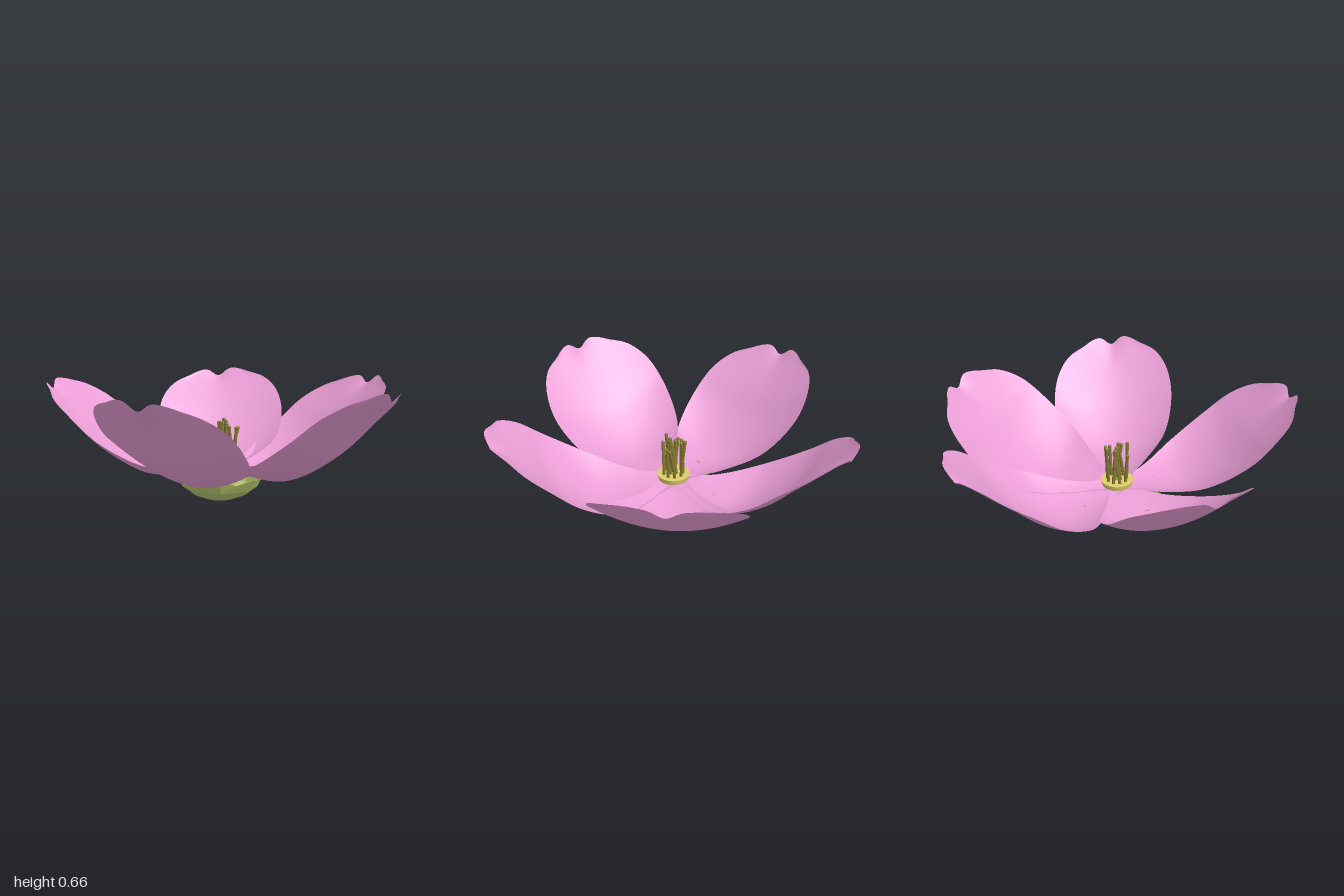
import * as THREE from 'three';

const CENTER = [0.03, 0.035]; // flower axis (x, z)

const material = (color, flat = false) =>
  new THREE.MeshStandardMaterial({ color, flatShading: flat, side: THREE.DoubleSide });

// Surface from a grid of points: fn(u, v) with u, v in 0..1
function sheet(nu, nv, fn) {
  const pos = [], index = [];
  for (let i = 0; i <= nu; i++)
    for (let j = 0; j <= nv; j++) pos.push(...fn(i / nu, j / nv));
  for (let i = 0; i < nu; i++)
    for (let j = 0; j < nv; j++) {
      const a = i * (nv + 1) + j, b = a + nv + 1;
      index.push(a, a + 1, b, b, a + 1, b + 1);
    }
  const g = new THREE.BufferGeometry();
  g.setAttribute('position', new THREE.Float32BufferAttribute(pos, 3));
  g.setIndex(index);
  g.computeVertexNormals();
  return g;
}

// Cupped petal along +x: stations are [distance, midrib height, rim height, half width]
function petalGeometry(length, width) {
  const stations = [
    [-0.06, 0.18, 0.19, 0.06], [0.1, 0.165, 0.185, 0.105], [0.22, 0.15, 0.195, 0.185],
    [0.42, 0.15, 0.26, 0.325], [0.65, 0.28, 0.395, 0.385], [0.8, 0.43, 0.515, 0.362],
    [0.91, 0.54, 0.59, 0.29], [0.975, 0.605, 0.632, 0.18],
  ];
  const midrib = new THREE.CatmullRomCurve3(stations.map(s => new THREE.Vector3(s[0], s[1], 0)));
  const rim = new THREE.CatmullRomCurve3(stations.map(s => new THREE.Vector3(s[0], s[2], s[3])));
  return sheet(60, 40, (u, v) => {
    const w = 2 * v - 1;
    const m = midrib.getPoint(u), r = rim.getPoint(u);
    // rounded tip with a notch between two lobes
    const tip = Math.pow(u, 8);
    const notch = Math.exp(-Math.pow(w / 0.3, 2));
    const dome = 1 - w * w;
    const x = THREE.MathUtils.lerp(m.x, r.x, w * w) + tip * (0.07 * dome - 0.025 * notch);
    const y = THREE.MathUtils.lerp(m.y, r.y, w * w) + tip * (0.06 * dome - 0.055 * notch);
    // one side rises over the neighbouring petal
    return [x * length, y + 0.07 * w * r.z, w * r.z * width];
  });
}

// Faceted bowl with a bluntly pointed rim
function calyxGeometry() {
  const rings = [[0, 0], [0.08, 0.006], [0.15, 0.032], [0.195, 0.07], [0.22, 0.112]];
  const n = 16;
  return sheet(rings.length - 1, n, (u, v) => {
    const k = Math.round(u * (rings.length - 1));
    const j = Math.round(v * n) % n;
    let [r, y] = rings[k];
    if (k === 4 && j % 2 === 0) { r = 0.255; y = j % 4 ? 0.138 : 0.155; }
    if (k === 3 && j % 2 === 0) r += 0.015;
    const a = (j / n) * Math.PI * 2;
    return [r * Math.cos(a), y, r * Math.sin(a)];
  });
}

export function createModel() {
  const flower = new THREE.Group();
  flower.name = 'flower';
  const axis = new THREE.Group();
  axis.name = 'blossom';
  axis.position.set(CENTER[0], 0, CENTER[1]);
  flower.add(axis);

  const add = (name, geometry, mat, parent = axis) => {
    const mesh = new THREE.Mesh(geometry, mat);
    mesh.name = name;
    parent.add(mesh);
    return mesh;
  };

  // Petals: [direction in degrees, length factor, width factor]
  const pink = material(0xea9ed6);
  [[91.3, 1.005, 1], [29.5, 0.985, 1.04], [-36, 0.985, 0.94], [-113.5, 1, 0.98], [170, 0.97, 0.98]]
    .forEach(([deg, length, width], i) => {
      add(`petal${i + 1}`, petalGeometry(length, width), pink).rotation.y = THREE.MathUtils.degToRad(deg);
    });

  // Calyx under the petals
  add('calyx', calyxGeometry(), material(0xb5c56e, true)).position.x = -0.025;

  // Central disc
  add('disc', new THREE.CylinderGeometry(0.092, 0.085, 0.03, 32), material(0xdccb6c)).position.y = 0.205;

  // Stamens: thin rods, each leaning its own way
  const stamens = new THREE.Group();
  stamens.name = 'stamens';
  axis.add(stamens);
  const olive = material(0x857a34);
  const count = 12;
  for (let i = 0; i < count; i++) {
    const inner = i >= 9;
    const a = inner ? (i - 9) * 2.1 + 0.4 : (i / 9) * Math.PI * 2;
    const r = inner ? 0.02 : 0.055;
    const lean = 0.012 + 0.012 * (i % 3);
    const top = 0.4 + 0.04 * ((i * 5) % 4) / 3;
    const at = (t, y) => new THREE.Vector3(
      r * Math.cos(a) + t * lean * Math.cos(i * 2.4), y, r * Math.sin(a) + t * lean * Math.sin(i * 2.4));
    const path = new THREE.CatmullRomCurve3([at(0, 0.21), at(0.4, 0.31), at(1, top)]);
    add('filament', new THREE.TubeGeometry(path, 8, 0.009, 8), olive, stamens);
    const anther = add('anther', new THREE.SphereGeometry(0.0105, 10, 8), olive, stamens);
    anther.position.copy(at(1, top));
  }
  return flower;
}
